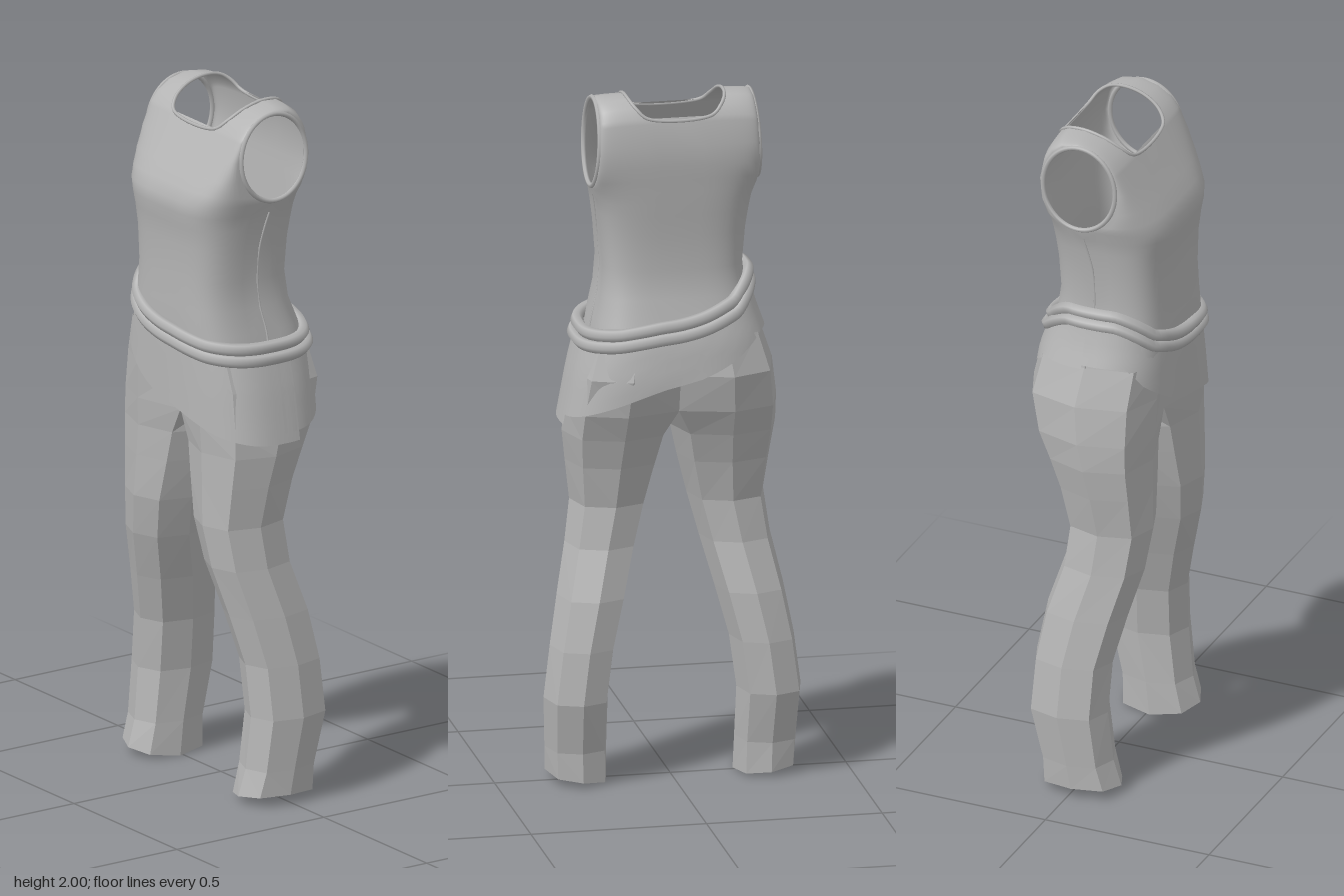
import * as THREE from 'three';
import { mergeGeometries, mergeVertices } from 'three/addons/utils/BufferGeometryUtils.js';

const V = (x, y, z) => new THREE.Vector3(x, y, z);
const lerp = THREE.MathUtils.lerp;

// Piecewise-linear lookup: keys are [t, value...] sorted by rising t
function lookup(keys, t) {
  if (t <= keys[0][0]) return keys[0].slice(1);
  for (let i = 1; i < keys.length; i++) {
    const a = keys[i - 1], b = keys[i];
    if (t <= b[0]) return a.slice(1).map((v, k) => lerp(v, b[k + 1], (t - a[0]) / (b[0] - a[0])));
  }
  return keys[keys.length - 1].slice(1);
}

// Surface through equal-length rows of points; skip(i, j) leaves a cell open
function sheet(rows, flip = false, skip = () => false) {
  const n = rows[0].length, index = [];
  for (let i = 0; i < rows.length - 1; i++) for (let j = 0; j < n - 1; j++) {
    if (skip(i, j)) continue;
    const a = i * n + j, b = a + 1, c = a + n, d = c + 1;
    index.push(...(flip ? [a, d, b, a, c, d] : [a, b, d, a, d, c]));
  }
  const g = new THREE.BufferGeometry().setFromPoints(rows.flat());
  g.setIndex(index);
  return g;
}

function smooth(parts) {
  const g = mergeVertices(mergeGeometries(parts), 1e-4);
  g.computeVertexNormals();
  return g;
}

function tube(points, radius, closed, segments = 64) {
  return new THREE.TubeGeometry(new THREE.CatmullRomCurve3(points, closed), segments, radius, 6, closed);
}

// ---- Top: each row runs from the centre line to the side in a squarish curve
const BULGE = 0.55;
// y, half width, side z, front z, back z
const BODY = [
  [1.28, 0.235, 0.0, 0.195, -0.175], [1.35, 0.222, 0.0, 0.197, -0.16], [1.42, 0.205, 0.01, 0.196, -0.135],
  [1.5, 0.198, 0.015, 0.193, -0.125], [1.6, 0.206, 0.012, 0.194, -0.13], [1.66, 0.214, 0.0, 0.201, -0.136],
  [1.7, 0.221, -0.01, 0.208, -0.14],
];
// armhole angle, centre y, centre z, neck half width
const FRONT = [
  [-90, 1.735, 0.207, 0], [-60, 1.77, 0.19, 0], [-30, 1.81, 0.165, 0], [0, 1.865, 0.13, 0], [25, 1.92, 0.097, 0],
  [30, 1.93, 0.09, 0.1], [45, 1.957, 0.066, 0.127], [65, 1.985, 0.02, 0.138], [90, 2.0, -0.04, 0.14],
];
const BACK = [
  [-90, 1.735, -0.143, 0], [-60, 1.77, -0.146, 0], [-30, 1.81, -0.15, 0], [0, 1.87, -0.152, 0], [25, 1.935, -0.14, 0],
  [32, 1.95, -0.135, 0.09], [45, 1.978, -0.118, 0.122], [65, 1.996, -0.09, 0.136], [90, 2.0, -0.04, 0.14],
];

function armhole(deg, back) {
  const a = THREE.MathUtils.degToRad(deg), s = Math.sin(a);
  return V(0.228 - 0.006 * s, 1.86 + 0.125 * s, -0.02 + (back ? -1 : 1) * 0.11 * Math.cos(a));
}

function topRows(back) {
  const lower = BODY.map(([y, w, zs, zf, zb]) => ({ y, z: back ? zb : zf, side: V(w, y, zs), neck: 0 }));
  const upper = (back ? BACK : FRONT).map(([deg, y, z, neck]) => ({ y, z, side: armhole(deg, back), neck }));
  return [...lower, ...upper];
}

function topPoint(row, t, sign) {
  const start = Math.asin(Math.pow(row.neck / row.side.x, 1 / BULGE));
  const a = lerp(start, Math.PI / 2, t);
  const c = t === 1 ? 0 : Math.pow(Math.cos(a), BULGE);
  return V(sign * row.side.x * Math.pow(Math.sin(a), BULGE),
    lerp(row.side.y, row.y, c), lerp(row.side.z, row.z, c));
}

function topSheet(back) {
  const M = 16, rows = topRows(back);
  const points = rows.map((row) => {
    const out = [];
    for (let j = M; j >= 0; j--) out.push(topPoint(row, j / M, -1));
    for (let j = 0; j <= M; j++) out.push(topPoint(row, j / M, 1));
    return out;
  });
  // the neck opening, and the zero-width cells on the centre line
  return sheet(points, back, (i, j) => j === M && (rows[i].neck > 0 || rows[i + 1].neck === 0));
}

// ---- Hips: y, half width, front z, back z
const HIPS = [
  [1.04, 0.315, 0.207, -0.2], [1.2, 0.285, 0.204, -0.202], [1.3, 0.26, 0.202, -0.188],
  [1.37, 0.235, 0.2, -0.165], [1.43, 0.218, 0.2, -0.142], [1.52, 0.203, 0.197, -0.128],
];
const BELT = [[-0.24, 1.485], [-0.15, 1.425], [0, 1.375], [0.15, 1.347], [0.26, 1.335]];
const HEM_FRONT = [[-0.26, 1.32], [-0.2, 1.26], [0, 1.145], [0.18, 1.08], [0.3, 1.048]];
const HEM_BACK = [[-0.26, 1.31], [-0.12, 1.24], [0, 1.19], [0.15, 1.13], [0.3, 1.075]];

function hipPoint(a, y, grow = 0) {
  const [w, zf, zb] = lookup(HIPS, y), p = (v) => Math.sign(v) * Math.pow(Math.abs(v), 0.75);
  const c = p(Math.cos(a));
  return V((w + grow) * p(Math.sin(a)), y, c * (c > 0 ? zf + grow : grow - zb));
}

function skirtPanel(from, to, hem) {
  const rows = [];
  for (let i = 0; i <= 6; i++) {
    const row = [];
    for (let j = 0; j <= 32; j++) {
      const a = lerp(from, to, j / 32), s = Math.sin(a);
      row.push(hipPoint(a, lerp(lookup(hem, 0.3 * s)[0], lookup(BELT, 0.25 * s)[0] - 0.035, i / 6), 0.004));
    }
    rows.push(row);
  }
  return smooth([sheet(rows)]);
}

function beltRoll(drop) {
  const points = [];
  for (let j = 0; j < 40; j++) {
    const a = (j / 40) * Math.PI * 2;
    points.push(hipPoint(a, lookup(BELT, 0.25 * Math.sin(a))[0] - drop, 0.004));
  }
  return tube(points, 0.018, true, 96);
}

// ---- Trousers: y, inner x, outer x, front z, back z
const LEG = [
  [0.015, 0.18, 0.355, 0.128, -0.105], [0.1, 0.182, 0.358, 0.105, -0.105], [0.25, 0.183, 0.366, 0.09, -0.142],
  [0.4, 0.163, 0.347, 0.095, -0.135], [0.54, 0.127, 0.322, 0.128, -0.115], [0.68, 0.09, 0.292, 0.165, -0.075],
  [0.8, 0.058, 0.276, 0.18, -0.065], [0.92, 0.026, 0.292, 0.176, -0.092], [1.01, 0.004, 0.304, 0.174, -0.125],
  [1.09, 0, 0.303, 0.178, -0.165], [1.2, 0, 0.288, 0.182, -0.195], [1.31, 0, 0.252, 0.188, -0.175],
];

function legGeometry(sign) {
  const power = (v) => (Math.abs(v) < 1e-6 ? 0 : Math.sign(v) * Math.pow(Math.abs(v), 0.78));
  const rows = LEG.map(([y, xi, xo, zf, zb], i) => {
    const row = [], cx = (xi + xo) / 2, cz = (zf + zb) / 2;
    for (let k = 0; k <= 8; k++) {
      const a = (k / 8) * Math.PI * 2, c = power(Math.cos(a)), s = power(Math.sin(a));
      const p = V(cx + c * (xo - xi) / 2, y, cz + s * (zf - zb) / 2);
      if (xi === 0 && k > 2 && k < 6) p.x = 0; // halves meet on the centre line
      if (i === 0) p.y += 0.014 * c * Math.abs(c) + 0.008 * Math.max(0, s) - (k === 4 ? 0.001 : 0);
      p.x *= sign;
      row.push(p);
    }
    return row;
  });
  // no wall between the two halves above the crotch
  const g = sheet(rows, sign > 0, (i, k) => LEG[i][1] === 0 && (k === 3 || k === 4)).toNonIndexed();
  g.computeVertexNormals();
  return g;
}

export function createModel() {
  const group = new THREE.Group();
  const cloth = new THREE.MeshStandardMaterial({ color: 0xb4b4b4, side: THREE.DoubleSide });
  cloth.name = 'grey cloth';
  const add = (name, geometry) => {
    const mesh = new THREE.Mesh(geometry, cloth);
    mesh.name = name;
    group.add(mesh);
  };

  add('sleevelessTop', smooth([topSheet(false), topSheet(true)]));

  // neck trim: along the front edge, over the shoulders and round the back
  const edge = (back, sign) => topRows(back).filter((r) => r.neck > 0).map((r) => topPoint(r, 0, sign));
  add('neckTrim', tube([
    ...edge(false, 1), ...edge(true, 1).reverse().slice(1),
    ...edge(true, -1), ...edge(false, -1).reverse().slice(1),
  ], 0.005, true, 96));

  for (const [side, sign] of [['left', 1], ['right', -1]]) {
    const rim = [];
    for (let a = 0; a < 360; a += 15) {
      const p = armhole(a, false);
      rim.push(V(sign * p.x, p.y, p.z));
    }
    add(side + 'ArmholeTrim', tube(rim, 0.007, true));
    add(side + 'SideSeam', tube(BODY.map(([y, w, z]) => V(sign * w, y, z)), 0.003, false, 24));
    add(side + 'TrouserLeg', legGeometry(sign));
  }

  // tilted wrap: two rolls above a skirt with side slits
  add('upperBeltRoll', beltRoll(0.018));
  add('lowerBeltRoll', beltRoll(0.05));
  add('frontWrapPanel', skirtPanel(-Math.PI / 2, Math.PI / 2 + 0.15, HEM_FRONT));
  add('backWrapPanel', skirtPanel(Math.PI / 2, Math.PI * 1.5, HEM_BACK));
  return group;
}
